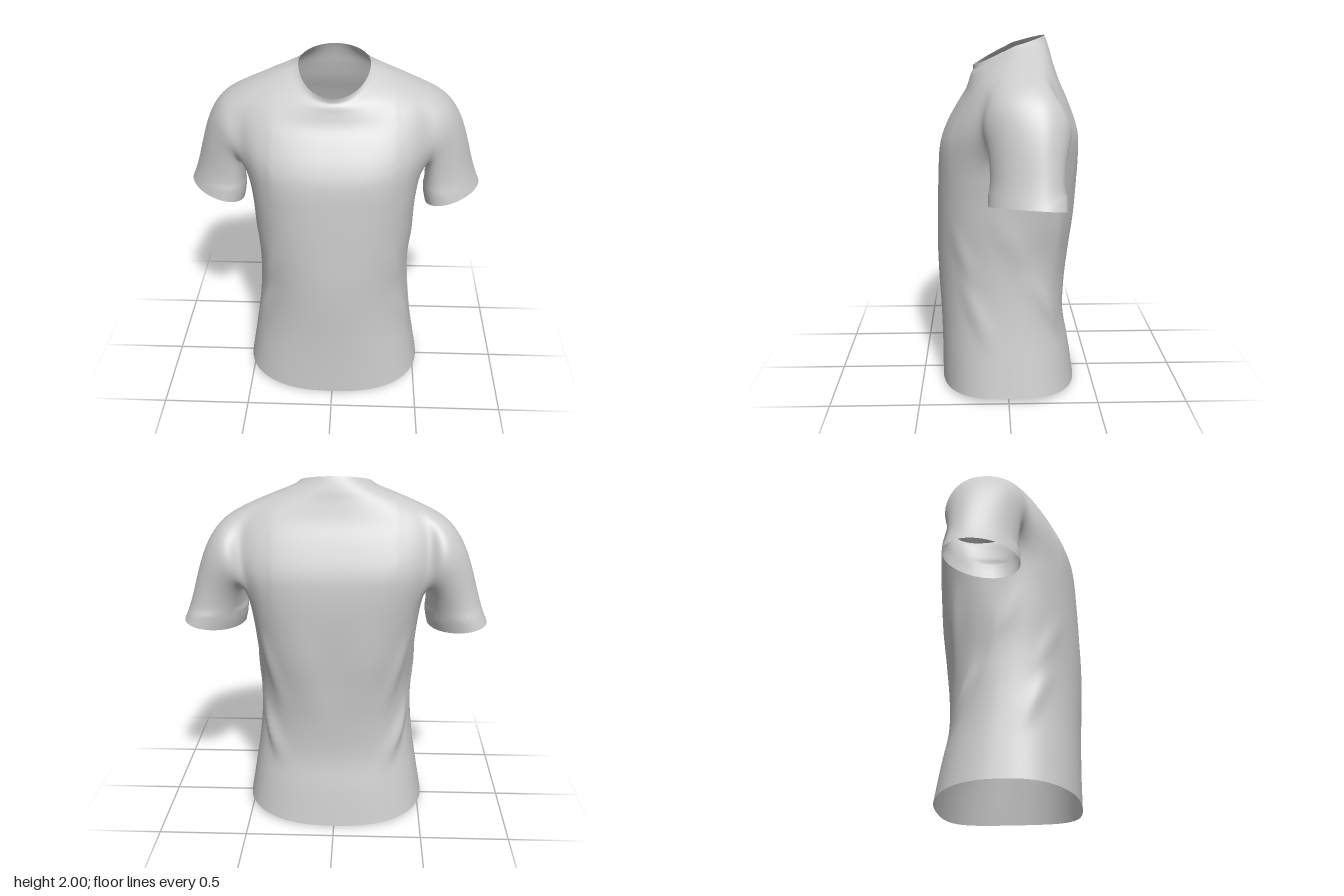
import * as THREE from 'three';

const COLS = 144, SUB = 5;          // columns round the torso, rows per cross-section
const HOLE = { half: 11, low: 35, high: 52 }; // armhole block in the torso grid

// Torso cross-sections: half width, front z, back z, y at front, side and back, z of widest point,
// squareness of front and back, bend of the edge between side and centre
const RINGS = [
  [0.522, 0.385, -0.40, 0.005, 0.04, 0.0, 0.0, 2.5, 2.5, 2],
  [0.492, 0.385, -0.37, 0.2, 0.22, 0.2, 0.0, 2.4, 2.4, 2],
  [0.462, 0.39, -0.335, 0.4, 0.41, 0.4, 0.0, 2.25, 2.3, 2],
  [0.443, 0.40, -0.34, 0.6, 0.6, 0.6, 0.0, 2.15, 2.2, 2],
  [0.437, 0.405, -0.365, 0.8, 0.8, 0.8, 0.0, 2.2, 2.2, 2],
  [0.45, 0.40, -0.388, 1.0, 1.0, 1.0, -0.02, 2.4, 2.4, 2],
  [0.467, 0.393, -0.395, 1.2, 1.2, 1.2, -0.05, 2.6, 2.75, 2],
  [0.495, 0.38, -0.395, 1.39, 1.39, 1.4, -0.08, 2.8, 3.3, 2],
  [0.54, 0.345, -0.38, 1.5, 1.52, 1.52, -0.085, 2.75, 3.5, 2],
  [0.56, 0.285, -0.33, 1.61, 1.66, 1.66, -0.09, 2.65, 3.2, 2],
  [0.54, 0.235, -0.282, 1.69, 1.785, 1.77, -0.09, 2.45, 2.7, 2],
  [0.44, 0.212, -0.252, 1.75, 1.85, 1.865, -0.08, 2.25, 2.3, 1.8],
  [0.32, 0.2, -0.237, 1.79, 1.897, 1.925, -0.065, 2.1, 2.1, 1.5],
  [0.228, 0.188, -0.222, 1.812, 1.932, 1.972, -0.05, 2, 2, 1.2],
  [0.194, 0.19, -0.21, 1.835, 1.952, 2.0, -0.045, 1.95, 1.95, 1.05],
];

// Sleeve cross-sections: outer x, y; inner x, y; front z, back z; inward shift of the front
const SLEEVE = [
  [0.60, 1.778, 0.51, 1.375, 0.15, -0.335, 0],
  [0.67, 1.695, 0.512, 1.345, 0.13, -0.318, 0.015],
  [0.714, 1.6, 0.513, 1.31, 0.117, -0.3, 0.03],
  [0.747, 1.49, 0.514, 1.27, 0.11, -0.287, 0.04],
  [0.772, 1.385, 0.517, 1.23, 0.107, -0.282, 0.05],
  [0.797, 1.29, 0.523, 1.185, 0.11, -0.283, 0.055],
  [0.831, 1.205, 0.535, 1.14, 0.113, -0.285, 0.06],
];

// Cloth folds: start angle, y; end angle, y; width, height (mirrored to both sides)
const FOLDS = [
  [-0.15, 0.78, -1.1, 0.3, 0.045, 0.024],
  [-0.5, 1.25, -0.95, 0.6, 0.05, 0.014],
  [0.3, 1.2, -0.6, 0.4, 0.045, 0.014],
  [0.05, 0.95, -0.75, 0.35, 0.04, -0.014],
  [0.75, 0.75, 0.1, 0.25, 0.05, 0.014],
  [0.9, 1.05, 0.35, 0.6, 0.05, 0.01],
  [-Math.PI / 2, 1.35, -Math.PI / 2, 0.55, 0.09, -0.008],
];

// Smooth interpolation through a table of rows
function sample(table, t) {
  const last = table.length - 1, i = Math.min(Math.floor(t), last - 1), f = t - i;
  const at = (k) => table[Math.max(0, Math.min(last, k))];
  return table[i].map((_, j) => {
    const a = at(i - 1)[j], b = at(i)[j], c = at(i + 1)[j], d = at(i + 2)[j];
    return b + 0.5 * f * (c - a + f * (2 * a - 5 * b + 4 * c - d + f * (3 * (b - c) + d - a)));
  });
}

function foldHeight(angle, y) {
  let h = 0;
  for (const [a0, y0, a1, y1, width, height] of FOLDS) {
    for (const a of [angle, Math.PI - angle]) {
      const wrapped = Math.atan2(Math.sin(a), Math.cos(a));
      const dx = (a1 - a0) * 0.42, dy = y1 - y0, px = (wrapped - a0) * 0.42, py = y - y0;
      const len = Math.hypot(dx, dy), along = (px * dx + py * dy) / (len * len);
      if (along < 0 || along > 1) continue;
      const across = (px * dy - py * dx) / len;
      h += height * Math.sin(along * Math.PI) ** 2 * Math.exp(-((across / width) ** 2));
    }
  }
  return h;
}

export function createModel() {
  const points = [], fixed = new Set();
  const faces = { torso: [], collar: [], leftSleeve: [], rightSleeve: [] };
  const quad = (list, a, up, next, diagonal) => list.push(a, up, next, up, diagonal, next);
  const rows = (RINGS.length - 1) * SUB;
  const id = (r, c) => r * COLS + ((c + COLS) % COLS);

  // Torso vertices
  for (let r = 0; r <= rows; r++) {
    const [w, front, back, yFront, ySide, yBack, zMid, nFront, nBack, bend] = sample(RINGS, r / SUB);
    for (let c = 0; c < COLS; c++) {
      const a = (c / COLS) * Math.PI * 2, cos = Math.cos(a), sin = Math.sin(a);
      const depth = sin > 0 ? front - zMid : zMid - back, power = 2 / (sin > 0 ? nFront : nBack);
      const y = ySide + ((sin > 0 ? yFront : yBack) - ySide) * Math.abs(sin) ** bend;
      const fold = foldHeight(a, y);
      if (r === 0 || r === rows) fixed.add(points.length);
      points.push(new THREE.Vector3(
        w * Math.sign(cos) * Math.abs(cos) ** power + fold * cos, y,
        zMid + depth * Math.sign(sin) * Math.abs(sin) ** power + fold * sin));
    }
  }

  // Torso and collar faces, leaving the two armholes open
  for (let r = 0; r < rows; r++) {
    for (let c = 0; c < COLS; c++) {
      const inHole = r >= HOLE.low && r < HOLE.high && [0, COLS / 2, COLS].some(
        (s) => c >= s - HOLE.half && c < s + HOLE.half);
      if (inHole) continue;
      quad(r >= rows - 4 ? faces.collar : faces.torso,
        id(r, c), id(r + 1, c), id(r, c + 1), id(r + 1, c + 1));
    }
  }

  // Sleeves grow out of the armhole edges
  for (const side of [1, -1]) {
    const mid = side > 0 ? 0 : COLS / 2, { half, low, high } = HOLE, edge = [];
    for (let c = half; c > -half; c--) edge.push(id(high, mid + c));
    for (let r = high; r > low; r--) edge.push(id(r, mid - half));
    for (let c = -half; c < half; c++) edge.push(id(low, mid + c));
    for (let r = low; r < high; r++) edge.push(id(r, mid + half));
    const angles = edge.map((i) => Math.atan2((points[i].z + 0.07) / 0.2, (points[i].y - 1.6) / 0.2));
    const list = side > 0 ? faces.leftSleeve : faces.rightSleeve;
    const steps = 3 + (SLEEVE.length - 1) * 4;
    let previous = edge;
    for (let k = 1; k <= steps; k++) {
      const [ox, oy, ix, iy, front, back, shift] = sample(SLEEVE, Math.max(0, (k - 3) / 4));
      const ring = edge.map((start, j) => {
        const u = (1 + Math.cos(angles[j])) / 2, s = Math.sin(angles[j]);
        const p = new THREE.Vector3(side * (ix + (ox - ix) * u - shift * s), iy + (oy - iy) * u,
          (front + back) / 2 + s * (front - back) / 2);
        if (k < 3) p.lerp(points[start], 1 - k / 3);
        if (k === steps) fixed.add(points.length);
        return points.push(p) - 1;
      });
      ring.forEach((p, j) => {
        const n = (j + 1) % ring.length;
        quad(list, previous[j], p, previous[n], ring[n]);
      });
      previous = ring;
    }
  }

  // Relax the cloth round the shoulders and armpits
  const neighbours = points.map(() => new Set());
  for (const list of Object.values(faces)) {
    for (let i = 0; i < list.length; i += 3) {
      for (let j = 0; j < 3; j++) {
        const a = list[i + j], b = list[i + ((j + 1) % 3)];
        neighbours[a].add(b);
        neighbours[b].add(a);
      }
    }
  }
  for (let pass = 0; pass < 16; pass++) {
    const moved = points.map((p, i) => {
      if (fixed.has(i) || !neighbours[i].size || p.y < 1.25 || Math.abs(p.x) < 0.34) return p;
      const mean = new THREE.Vector3();
      neighbours[i].forEach((n) => mean.add(points[n]));
      return p.clone().lerp(mean.divideScalar(neighbours[i].size), 0.5);
    });
    moved.forEach((p, i) => { points[i] = p; });
  }

  // One set of smooth normals is shared by all parts so that they join without seams
  const whole = new THREE.BufferGeometry().setFromPoints(points);
  whole.setIndex(Object.values(faces).flat());
  whole.computeVertexNormals();

  const cloth = new THREE.MeshStandardMaterial({ color: 0xcccccc, side: THREE.DoubleSide });
  cloth.name = 'light grey cloth';
  const shirt = new THREE.Group();
  shirt.name = 'shirt';
  for (const [name, list] of Object.entries(faces)) {
    const geometry = new THREE.BufferGeometry();
    geometry.setAttribute('position', whole.attributes.position);
    geometry.setAttribute('normal', whole.attributes.normal);
    geometry.setIndex(list);
    const mesh = new THREE.Mesh(geometry, cloth);
    mesh.name = name;
    shirt.add(mesh);
  }
  return shirt;
}
